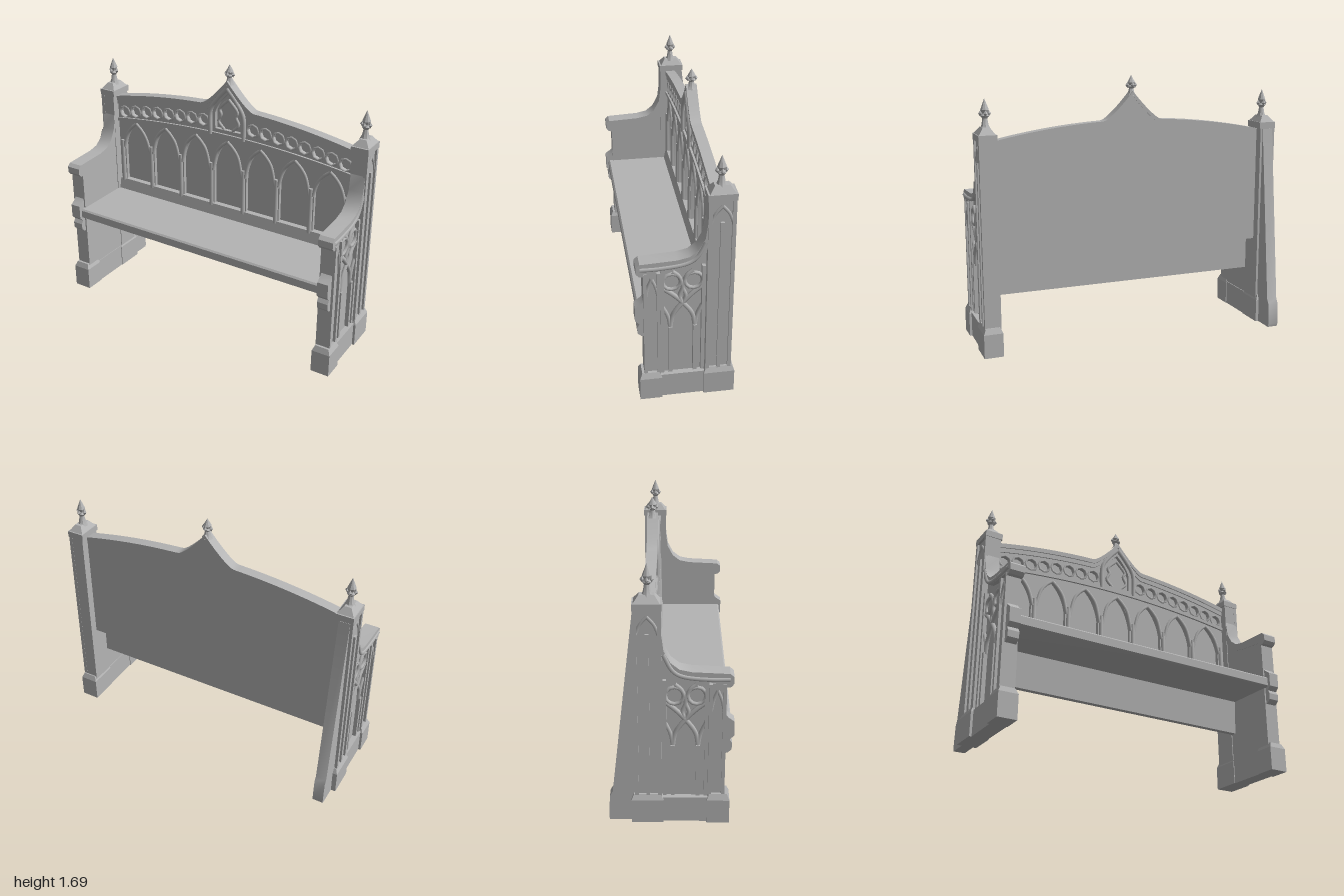
import * as THREE from 'three';
import { toCreasedNormals } from 'three/addons/utils/BufferGeometryUtils.js';

export function createModel() {
  const bench = new THREE.Group();
  bench.name = 'gothicBench';
  const stone = new THREE.MeshStandardMaterial({ color: 0xb4b4b4 });
  stone.name = 'grey stone';

  const add = (name, geo, x = 0, y = 0, z = 0) => {
    const m = new THREE.Mesh(geo, stone);
    m.name = name;
    m.position.set(x, y, z);
    bench.add(m);
    return m;
  };
  const poly = pts => new THREE.Shape(pts.map(p => new THREE.Vector2(p[0], p[1])));
  const extrude = (shape, depth) => toCreasedNormals(
    new THREE.ExtrudeGeometry(shape, { depth, bevelEnabled: false, curveSegments: 8 }), 0.6);
  // Plate drawn in x,y running from z0 to z1
  const plate = (name, shape, z0, z1) => add(name, extrude(shape, z1 - z0), 0, 0, z0);
  // Plate drawn in z,y running between two x values
  const sidePlate = (name, pts, xa, xb) =>
    add(name, extrude(poly(pts), Math.abs(xb - xa)).rotateY(-Math.PI / 2), Math.max(xa, xb));
  // Box given by its limits, with an optional inset of the top edges
  const block = (name, xa, xb, y0, y1, z0, z1, inset = 0) => {
    const w = Math.abs(xb - xa), d = z1 - z0;
    const g = new THREE.BoxGeometry(w, y1 - y0, d).toNonIndexed(), p = g.attributes.position;
    for (let i = 0; i < p.count; i++) if (p.getY(i) > 0) {
      p.setX(i, p.getX(i) * (1 - 2 * inset / w));
      p.setZ(i, p.getZ(i) * (1 - 2 * inset / d));
    }
    g.computeVertexNormals();
    return add(name, g, (xa + xb) / 2, (y0 + y1) / 2, (z0 + z1) / 2);
  };
  const rib = (name, pts, r) => {
    const c = new THREE.CatmullRomCurve3(pts.map(p => new THREE.Vector3(...p)), false, 'catmullrom', 0.5);
    return add(name, new THREE.TubeGeometry(c, pts.length * 5, r, 6));
  };
  const range = (a, b, n, f) => Array.from({ length: n + 1 }, (_, i) => f(a + (b - a) * i / n));
  // Finial: turned stem and bud with four leaves
  const finial = (x, y, z, h) => {
    const prof = [[0.036, 0], [0.022, 0.15], [0.015, 0.36], [0.027, 0.45], [0.017, 0.52],
      [0.026, 0.64], [0.013, 0.82], [0, 1]].map(p => new THREE.Vector2(p[0], p[1] * h));
    add('finial', toCreasedNormals(new THREE.LatheGeometry(prof, 8), 0.5), x, y, z);
    for (let i = 0; i < 4; i++) {
      const a = i * Math.PI / 2;
      add('finialLeaf', new THREE.OctahedronGeometry(0.014), x + Math.cos(a) * 0.025,
        y + h * 0.52, z + Math.sin(a) * 0.025).scale.y = 1.4;
    }
  };

  // Curves of the back
  const crown = x => 1.425 - 0.12 * x * x + 0.175 * Math.pow(Math.max(0, 1 - Math.abs(x) / 0.19), 1.3);
  const friezeLow = x => 1.235 - 0.08 * x * x;
  const band = (lo, hi) => poly([...range(-0.89, 0.89, 80, x => [x, lo(x)]), ...range(0.89, -0.89, 80, x => [x, hi(x)])]);

  // Back board, coping and mouldings
  plate('backBoard', band(() => 0.58, x => crown(x) - 0.01), -0.15, -0.125);
  plate('coping', band(x => crown(x) - 0.03, crown), -0.152, -0.085);
  plate('copingLowerMoulding', band(x => crown(x) - 0.06, x => crown(x) - 0.03), -0.13, -0.092);
  plate('friezeMoulding', band(x => friezeLow(x) - 0.022, friezeLow), -0.13, -0.087);

  // Arcade of seven pointed arches
  const arcade = band(() => 0.65, friezeLow);
  for (let i = -3; i <= 3; i++) {
    const x = i * 0.245, w = 0.102, top = 1.185 - 0.06 * x * x;
    const hole = new THREE.Path();
    hole.moveTo(x - w, 0.69);
    hole.lineTo(x + w, 0.69);
    hole.lineTo(x + w, 0.98);
    hole.quadraticCurveTo(x + w * 0.8, top - 0.07, x, top);
    hole.quadraticCurveTo(x - w * 0.8, top - 0.07, x - w, 0.98);
    hole.closePath();
    arcade.holes.push(hole);
    for (const s of [-1, 1]) {
      rib('archRib', [[x + s * w * 1.1, 0.96, -0.098], [x + s * w * 0.82, top - 0.1, -0.098],
        [x + s * w * 0.46, top - 0.042, -0.098], [x, top, -0.098]], 0.011);
    }
  }
  plate('arcade', arcade, -0.126, -0.1);
  for (let i = -3; i <= 4; i++) {
    add('mullion', new THREE.CylinderGeometry(0.013, 0.016, 0.31, 8), (i - 0.5) * 0.245, 0.855, -0.096);
  }

  // Pierced frieze with a central niche
  const frieze = band(friezeLow, x => crown(x) - 0.05);
  const niche = new THREE.Path();
  niche.moveTo(-0.095, 1.26);
  niche.lineTo(0.095, 1.26);
  niche.lineTo(0.095, 1.37);
  niche.quadraticCurveTo(0.075, 1.44, 0, 1.51);
  niche.quadraticCurveTo(-0.075, 1.44, -0.095, 1.37);
  niche.closePath();
  frieze.holes.push(niche);
  for (const s of [-1, 1]) {
    for (let i = 0; i < 8; i++) {
      const x = s * (0.185 + 0.092 * i), y = 1.303 - 0.12 * x * x;
      frieze.holes.push(new THREE.Path(range(0, 7, 7, k => new THREE.Vector2(
        x + 0.037 * Math.cos(k * Math.PI / 4), y + 0.037 * Math.sin(k * Math.PI / 4)))));
      add('friezeRing', new THREE.TorusGeometry(0.041, 0.007, 5, 8), x, y, -0.1);
    }
    // Niche jambs and inner tracery
    rib('nicheJamb', [[s * 0.125, 1.22, -0.088], [s * 0.122, 1.38, -0.088], [s * 0.07, 1.47, -0.088], [0, 1.55, -0.088]], 0.014);
    rib('nicheTracery', [[s * 0.03, 1.26, -0.11], [s * 0.075, 1.31, -0.11], [s * 0.055, 1.36, -0.11],
      [s * 0.065, 1.4, -0.11], [0, 1.47, -0.11]], 0.01);
  }
  plate('frieze', frieze, -0.126, -0.1);
  finial(0, 1.57, -0.12, 0.13);

  // Seat slab, board hanging beneath it and steep sill behind
  sidePlate('seat', [[0.33, 0.57], [0.345, 0.58], [0.345, 0.63], [0.335, 0.64], [-0.13, 0.64], [-0.13, 0.575]], -0.895, 0.895);
  sidePlate('seatBoard', [[0, 0.58], [-0.05, 0.58], [-0.05, 0.35], [-0.015, 0.35]], -0.895, 0.895);
  sidePlate('backSill', [[-0.07, 0.635], [-0.088, 0.715], [-0.13, 0.715], [-0.13, 0.635]], -0.89, 0.89);

  // End frames
  for (const s of [-1, 1]) {
    const X = v => s * v;
    // Plinth
    block('plinth', X(0.885), X(0.985), 0.01, 0.17, -0.2, 0.33);
    for (const [z0, z1] of [[0.21, 0.342], [-0.225, -0.04]]) {
      block('plinthBlock', X(0.88), X(1), 0.01, 0.16, z0, z1);
      block('plinthShoulder', X(0.88), X(1), 0.16, 0.195, z0, z1, 0.015);
    }

    // Flat panel under the arm
    sidePlate('endPanel', [[0.3, 0.1], [0.3, 0.9], [0.1, 0.94], [0.02, 0.99], [-0.03, 1.05], [-0.07, 1.1], [-0.07, 0.1]],
      X(0.89), X(0.95));
    // Swept arm with rounded nose
    sidePlate('arm', [[-0.07, 1.24], [-0.05, 1.2], [-0.037, 1.1], [0, 1.03], [0.05, 0.99], [0.12, 0.975], [0.33, 0.965],
      [0.352, 0.945], [0.352, 0.905], [0.335, 0.885], [0.3, 0.88], [0.28, 0.905], [0.12, 0.925],
      [0.04, 0.945], [-0.02, 0.99], [-0.07, 1.06]], X(0.887), X(0.98));
    rib('armRib', [[X(0.978), 1.08, -0.04], [X(0.978), 0.985, 0.01], [X(0.978), 0.945, 0.08], [X(0.978), 0.93, 0.22], [X(0.978), 0.93, 0.33]], 0.013);

    // Front post and scrolled bracket
    block('frontPost', X(0.89), X(0.968), 0.15, 0.9, 0.215, 0.312);
    sidePlate('bracket', [[0.3, 0.72], [0.325, 0.69], [0.36, 0.665], [0.36, 0.575], [0.335, 0.55], [0.35, 0.525],
      [0.347, 0.485], [0.325, 0.465], [0.3, 0.46]], X(0.9), X(0.97));
    for (const z of [0.225, 0.302]) {
      block('frontPostBar', X(0.96), X(0.985), 0.18, 0.9, z - 0.01, z + 0.01);
      rib('frontPostArch', [[X(0.972), 0.72, z], [X(0.972), 0.8, z + (0.2635 - z) * 0.4], [X(0.972), 0.86, 0.2635]], 0.01);
    }

    // Intersecting tracery on the outer face
    const tx = X(0.957), mid = 0.085;
    for (const k of [-1, 1]) {
      block('traceryEdge', X(0.945), X(0.975), 0.18, 0.92, mid + k * 0.118 - 0.01, mid + k * 0.118 + 0.01);
      block('traceryMullion', X(0.945), X(0.975), 0.18, 0.51, mid + k * 0.072 - 0.011, mid + k * 0.072 + 0.011);
      rib('traceryCross', [[tx, 0.5, mid + k * 0.072], [tx, 0.59, mid + k * 0.055], [tx, 0.67, mid],
        [tx, 0.73, mid - k * 0.055], [tx, 0.78, mid - k * 0.115]], 0.014);
      rib('traceryBranch', [[tx, 0.5, mid + k * 0.072], [tx, 0.58, mid + k * 0.085], [tx, 0.65, mid + k * 0.115]], 0.012);
      rib('traceryHead', [[tx, 0.67, mid], [tx, 0.72, mid + k * 0.018], [tx, 0.78, mid], [tx, 0.85, mid + k * 0.02], [tx, 0.89, mid + k * 0.06]], 0.012);
      add('traceryRing', new THREE.TorusGeometry(0.052, 0.012, 6, 12).rotateY(Math.PI / 2), tx, 0.82, mid + k * 0.063);
    }

    // Rear post with narrow lancet bars, cap and finial
    block('rearPost', X(0.885), X(0.975), 0.15, 1.34, -0.203, -0.05);
    for (const [z, top] of [[-0.06, 1.34], [-0.128, 1.2], [-0.193, 1.34]]) {
      block('rearPostBar', X(0.965), X(0.988), 0.18, top, z - 0.011, z + 0.011);
    }
    for (const z of [-0.06, -0.193]) {
      rib('rearPostArch', [[X(0.975), 1.18, z], [X(0.975), 1.25, z * 0.6 - 0.051], [X(0.975), 1.3, -0.128]], 0.01);
    }
    block('postCap', X(0.877), X(0.99), 1.335, 1.375, -0.208, -0.045);
    block('postCapSlope', X(0.882), X(0.985), 1.375, 1.415, -0.2, -0.055, 0.03);
    finial(X(0.93), 1.4, -0.125, 0.185);
  }

  // Raking buttress behind one end only
  sidePlate('buttress', [[-0.18, 0.01], [-0.18, 1.33], [-0.205, 1.33], [-0.335, 0.2], [-0.352, 0.17], [-0.36, 0.03], [-0.355, 0.01]], -0.97, -0.9);
  return bench;
}
